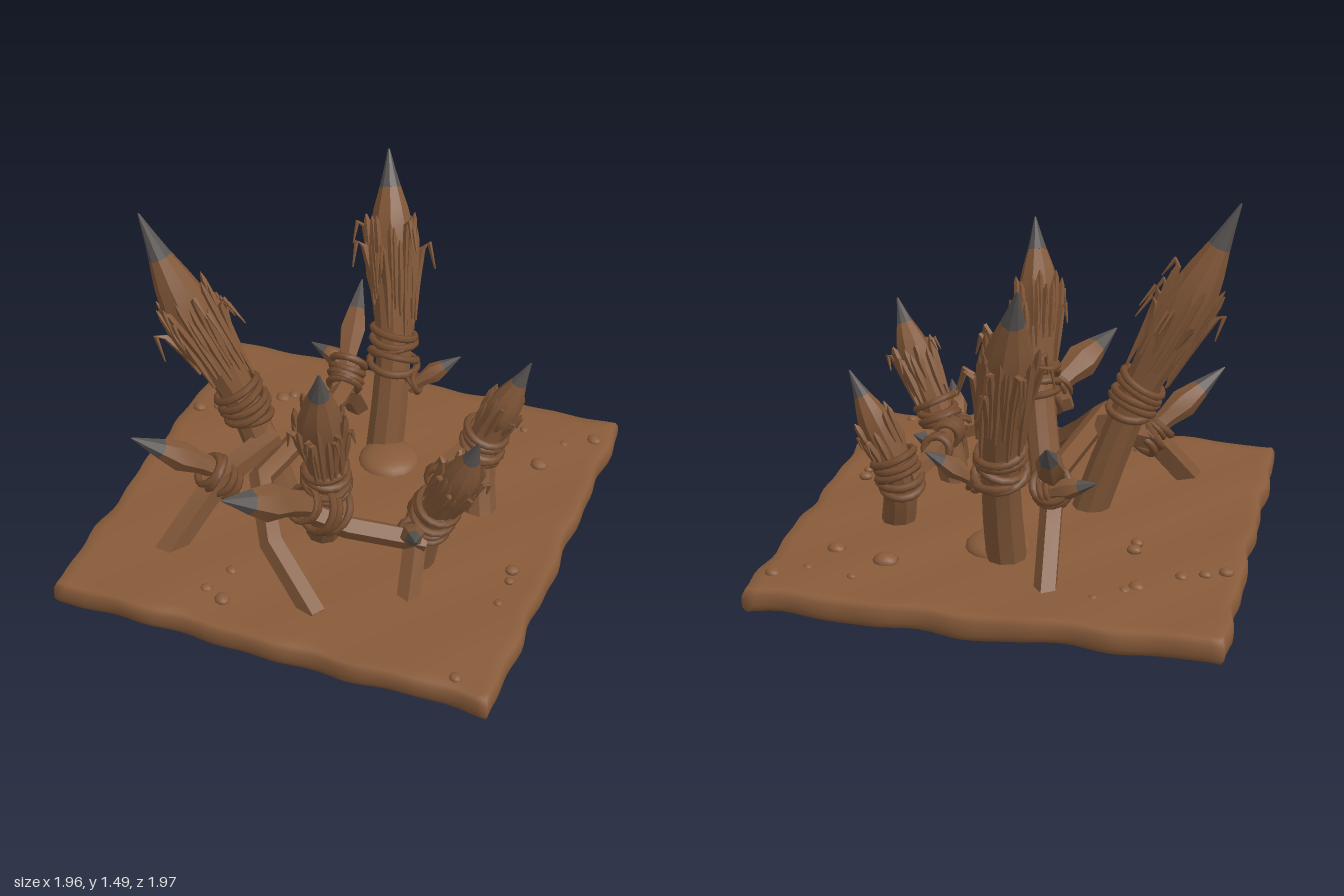
import * as THREE from 'three';
import { mergeGeometries, mergeVertices, toCreasedNormals } from 'three/addons/utils/BufferGeometryUtils.js';

const mat = (name, color) => Object.assign(new THREE.MeshStandardMaterial({ color }), { name });
const V = (a) => new THREE.Vector3(...a);

export function createModel() {
  const model = new THREE.Group();
  model.name = 'spikedBarricade';
  const soil = mat('soil brown', 0x885b3a);
  const wood = mat('wood brown', 0x805637);
  const rope = mat('rope brown', 0x744c2f);
  const stone = mat('sharpened grey', 0x55514f);

  let seed = 7;
  const rnd = (lo = 0, hi = 1) => {
    seed = (seed * 16807) % 2147483647;
    return lo + (hi - lo) * seed / 2147483647;
  };
  const add = (parent, name, geo, material) => {
    const mesh = new THREE.Mesh(geo, material);
    mesh.name = name;
    parent.add(mesh);
    return mesh;
  };

  // Closed tube through points, with its own radius at each point
  function loft(pts, radii, sides, crease = 0.5) {
    const pos = [], idx = [], n = pts.length;
    const normal = new THREE.Vector3(0.31, 0.2, 0.93);
    pts.forEach((p, i) => {
      const t = pts[Math.min(i + 1, n - 1)].clone().sub(pts[Math.max(i - 1, 0)]).normalize();
      normal.addScaledVector(t, -normal.dot(t)).normalize();
      const b = t.clone().cross(normal);
      for (let j = 0; j < sides; j++) {
        const a = j / sides * Math.PI * 2;
        const q = p.clone().addScaledVector(normal, Math.cos(a) * radii[i]).addScaledVector(b, Math.sin(a) * radii[i]);
        pos.push(q.x, q.y, q.z);
      }
    });
    pos.push(...pts[0].toArray(), ...pts[n - 1].toArray());
    for (let j = 0; j < sides; j++) {
      const k = (j + 1) % sides, e = (n - 1) * sides;
      for (let i = 0; i < n - 1; i++) {
        const r = i * sides, s = r + sides;
        idx.push(r + j, r + k, s + k, r + j, s + k, s + j);
      }
      idx.push(n * sides, k, j, n * sides + 1, e + j, e + k);
    }
    const g = new THREE.BufferGeometry();
    g.setAttribute('position', new THREE.Float32BufferAttribute(pos, 3));
    g.setIndex(idx);
    return toCreasedNormals(g, crease);
  }

  // Rope coils stacked along an axis
  function lashing(parent, center, dir, r, count, thick = 0.017) {
    const axis = dir.clone().normalize();
    for (let i = 0; i < count; i++) {
      const coil = add(parent, 'ropeCoil', new THREE.TorusGeometry(r * rnd(0.95, 1.1), thick, 6, 16), rope);
      coil.position.copy(center).addScaledVector(axis, (i - (count - 1) / 2) * thick * 2.1);
      const tilted = axis.clone().add(new THREE.Vector3(rnd(-0.25, 0.25), rnd(-0.2, 0.2), rnd(-0.25, 0.25))).normalize();
      coil.quaternion.setFromUnitVectors(new THREE.Vector3(0, 0, 1), tilted);
    }
  }

  // Large stake: post, lashing, frayed bark, sharpened point
  function stake(name, foot, waist, shoulder, tip, r, head, frays, curl) {
    const g = new THREE.Group();
    g.name = name;
    model.add(g);
    const curve = new THREE.CatmullRomCurve3([foot, waist, shoulder, tip].map(V), false, 'centripetal');
    const at = (u) => curve.getPoint(u);
    const us = [0, 0.17, 0.333, 0.42, 0.52, 0.6, 0.667, 0.74, 0.83];
    const rs = [r, r * 0.97, r * 0.92, r, head * 1.02, head * 1.08, head, head * 0.8, head * 0.5];
    add(g, 'stakeWood', loft(us.map(at), rs, 9), wood);
    add(g, 'stakePoint', loft([0.83, 0.9, 1].map(at), [head * 0.5, head * 0.3, 0.004], 9), stone);
    lashing(g, at(0.36), curve.getTangent(0.36), r * 1.16, 5);

    // Bark splinters lying along the head; some peel outward and droop
    const strips = [];
    for (let i = 0; i < frays; i++) {
      const a = i * 2.4, u0 = rnd(0.4, 0.53), u1 = rnd(0.58, 0.69);
      const peel = i % 3 === 0 ? curl * rnd(0.7, 1.2) : 0;
      const point = (u, radius) => {
        const t = curve.getTangent(u);
        const n = new THREE.Vector3(0, 0, 1).addScaledVector(t, -t.z).normalize();
        const b = t.clone().cross(n);
        return at(u).addScaledVector(n, Math.cos(a) * radius).addScaledVector(b, Math.sin(a) * radius);
      };
      const um = (u0 + u1) / 2, pts = [point(u0, head), point(um, head * 1.08), point(u1, head * 1.16 + peel * 0.35)];
      const widths = [0.006, 0.017, 0.013];
      if (peel) {
        pts.push(point(u1 + 0.015, head * 1.2 + peel * 0.75), point(u1 - 0.05, head * 1.25 + peel));
        widths.push(0.01, 0.003);
      } else {
        pts.push(point(u1 + 0.03, head * 1.2));
        widths.push(0.002);
      }
      strips.push(loft(pts, widths, 4));
    }
    add(g, 'frayedBark', mergeGeometries(strips), wood);
  }

  stake('leftStake', [-0.22, 0.08, 0.14], [-0.4, 0.6, 0.15], [-0.66, 1.13, 0.2], [-0.83, 1.5, 0.21], 0.08, 0.1, 32, 0.06);
  stake('backStake', [0.0, 0.08, -0.43], [0.0, 0.54, -0.54], [-0.08, 1.11, -0.71], [-0.145, 1.41, -0.84], 0.085, 0.095, 34, 0.07);
  stake('frontStake', [-0.03, 0.08, 0.23], [0.07, 0.55, 0.43], [0.1, 0.98, 0.57], [0.14, 1.25, 0.67], 0.075, 0.087, 26, 0.03);
  stake('rightFrontStake', [0.41, 0.08, 0.28], [0.48, 0.38, 0.3], [0.63, 0.7, 0.37], [0.71, 0.91, 0.42], 0.07, 0.075, 20, 0.03);
  stake('rightBackStake', [0.55, 0.08, -0.16], [0.51, 0.36, -0.26], [0.61, 0.62, -0.285], [0.7, 0.83, -0.3], 0.075, 0.07, 12, 0.015);

  // Small side spikes with a leaf-shaped head
  function thorn(name, start, tip, r, bulge = 0.5) {
    const g = new THREE.Group();
    g.name = name;
    model.add(g);
    const a = V(start), b = V(tip), at = (u) => a.clone().lerp(b, u);
    const cut = bulge + (1 - bulge) * 0.4;
    add(g, 'thornWood', loft([0, bulge * 0.6, bulge, cut].map(at), [r * 0.65, r * 0.7, r, r * 0.66], 6), wood);
    add(g, 'thornPoint', loft([cut, 1].map(at), [r * 0.66, 0.003], 6), stone);
    lashing(g, at(0.12), b.clone().sub(a), r * 0.85, 2, 0.012);
  }
  thorn('leftThorn', [-0.42, 0.38, 0.32], [-0.74, 0.65, 0.57], 0.065);
  thorn('frontThorn', [0.05, 0.48, 0.5], [-0.2, 0.69, 0.86], 0.08);
  thorn('backThorn', [-0.18, 0.42, -0.36], [-0.24, 0.76, -0.77], 0.062, 0.55);
  thorn('rightThorn', [0.4, 0.34, 0.34], [0.51, 0.48, 0.58], 0.05);
  thorn('backStakeLeftThorn', [0.1, 0.45, -0.46], [0.31, 0.61, -0.55], 0.045);
  thorn('backStakeRightThorn', [-0.15, 0.45, -0.5], [-0.39, 0.53, -0.53], 0.045);
  thorn('beamThorn', [0.42, 0.36, 0.12], [0.52, 0.44, 0.0], 0.045);

  // Hewn beams joining the stakes, some ending as legs
  const beams = [
    ['longBeam', 0.052, [-0.18, 0.42, -0.42], [-0.165, 0.44, -0.25], [-0.24, 0.46, 0.4], [-0.11, 0.3, 0.59], [0.14, 0.1, 0.73]],
    ['backLeg', 0.05, [-0.22, 0.08, -0.7], [-0.2, 0.3, -0.52], [-0.175, 0.44, -0.34]],
    ['leftLeg', 0.06, [-0.61, 0.08, 0.59], [-0.45, 0.38, 0.36], [-0.28, 0.5, 0.14]],
    ['frontBeam', 0.05, [-0.06, 0.46, 0.52], [0.18, 0.38, 0.47], [0.48, 0.31, 0.36]],
    ['rightBeam', 0.042, [0.44, 0.35, 0.3], [0.42, 0.38, 0.08], [0.42, 0.38, -0.1], [0.47, 0.36, -0.28]],
    ['rightLeg', 0.05, [0.46, 0.08, 0.52], [0.43, 0.35, 0.33]],
  ];
  for (const [name, r, ...pts] of beams) add(model, name, loft(pts.map(V), pts.map(() => r), 5), wood);
  lashing(model, V([-0.19, 0.46, -0.45]), V([-0.05, 0.3, -0.4]), 0.068, 4);
  lashing(model, V([-0.45, 0.39, 0.36]), V([-0.3, 0.3, 0.2]), 0.07, 4);
  lashing(model, V([0.08, 0.45, 0.48]), V([-0.2, 0.2, 0.3]), 0.09, 3);
  lashing(model, V([0.43, 0.37, 0.22]), V([0, 0, 1]), 0.055, 3);
  lashing(model, V([0.42, 0.38, 0.02]), V([0, 0, 1]), 0.053, 2);

  // Uneven earth slab with rounded, wavy rim
  let slab = new THREE.BoxGeometry(1.92, 0.1, 1.95, 40, 4, 40);
  slab.deleteAttribute('normal');
  slab.deleteAttribute('uv');
  slab = mergeVertices(slab);
  const p = slab.attributes.position;
  for (let i = 0; i < p.count; i++) {
    const x = p.getX(i), y = p.getY(i), z = p.getZ(i);
    const round = 1 - 0.012 * (y / 0.05) ** 4;
    const rimX = 0.008 * Math.sin(z * 13) + 0.006 * Math.sin(z * 23 + 1);
    const rimZ = 0.008 * Math.sin(x * 12 + 2) + 0.006 * Math.sin(x * 21);
    const lump = 0.006 * Math.sin(x * 5 + 1) * Math.cos(z * 4) + 0.004 * Math.sin(x * 11 + z * 8);
    p.setXYZ(i, x * round + Math.sign(x) * rimX * Math.abs(x) ** 3 + 0.02 * z * (x < 0 ? 1 : 0.4) * Math.abs(x),
      y + 0.077 + lump * (y > 0 ? 1 : 1.6) - (y < 0 ? 0.01 * Math.exp(-(x * x + z * z) * 3) : 0),
      z * round + rimZ * Math.sign(z) * Math.abs(z) ** 3);
  }
  slab.computeVertexNormals();
  add(model, 'groundSlab', slab, soil);

  // Dirt mound and scattered pebbles: x, z, radius
  const mound = add(model, 'dirtMound', new THREE.SphereGeometry(1, 18, 12), soil);
  mound.position.set(0.06, 0.12, -0.34);
  mound.scale.set(0.14, 0.06, 0.14);
  const pebbles = [
    [0.47, -0.6, 0.05], [0.7, -0.54, 0.037], [0.88, -0.81, 0.032], [-0.5, -0.27, 0.03], [-0.5, -0.2, 0.028],
    [-0.57, -0.6, 0.035], [-0.53, -0.64, 0.025], [-0.9, -0.39, 0.03], [-0.82, -0.43, 0.026], [-0.73, -0.47, 0.028],
    [0.81, 0.2, 0.028], [0.82, 0.27, 0.02], [0.82, 0.42, 0.018], [-0.28, 0.63, 0.025], [-0.33, 0.77, 0.025],
    [-0.24, 0.81, 0.032], [0.8, 0.9, 0.025], [-0.42, -0.73, 0.02], [0.56, -0.77, 0.02], [0.76, -0.73, 0.02],
  ];
  for (const [x, z, r] of pebbles) {
    const pebble = add(model, 'pebble', new THREE.SphereGeometry(r, 9, 6), soil);
    pebble.position.set(x, 0.13, z);
    pebble.scale.set(1, 0.7, 1.1);
    pebble.rotation.y = rnd(0, 3);
  }
  return model;
}
